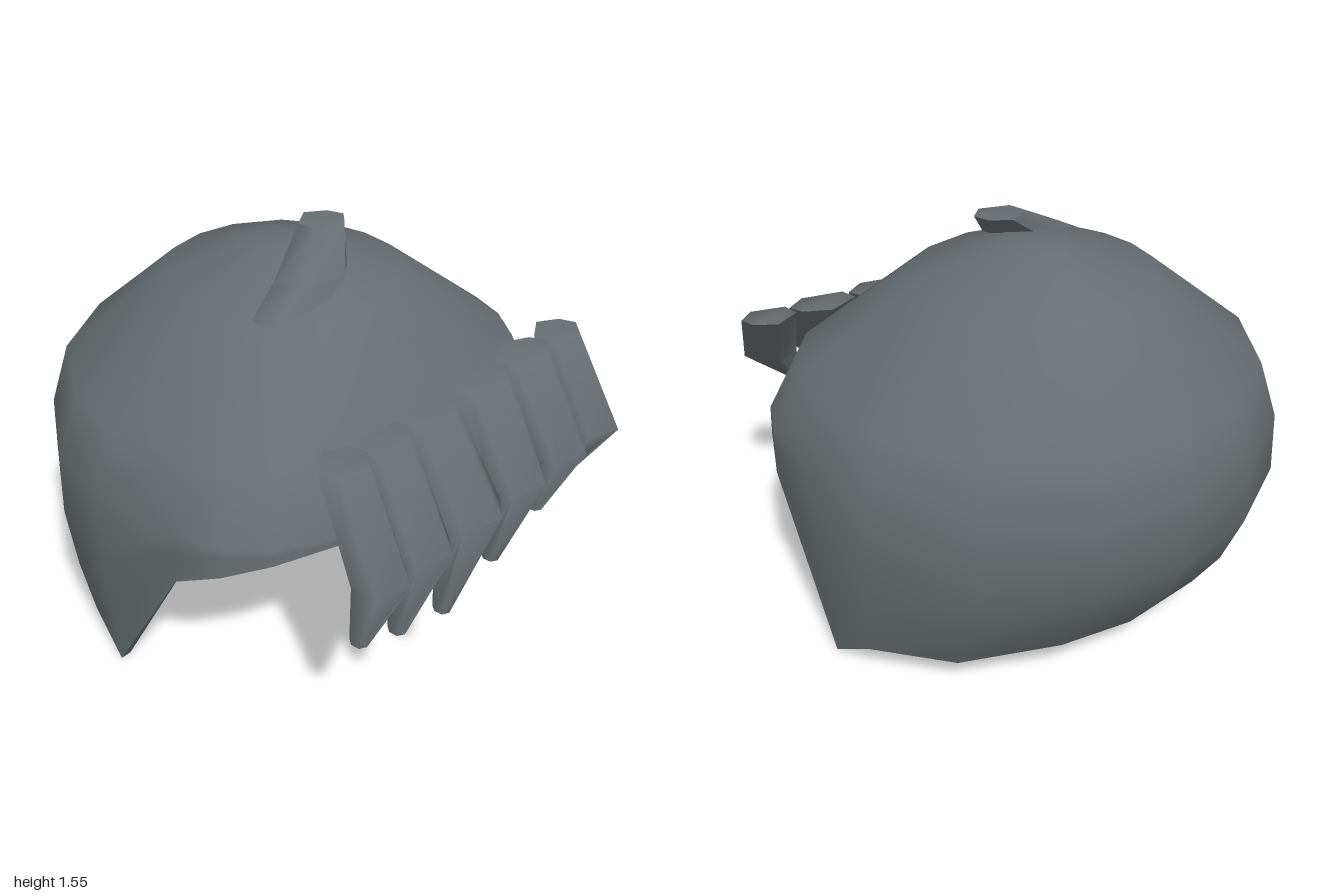
import * as THREE from 'three';
import { toCreasedNormals } from 'three/addons/utils/BufferGeometryUtils.js';

const hair = new THREE.MeshStandardMaterial({ color: 0x666d70 });
hair.name = 'slate grey hair';

// Skin a stack of closed rings (top to bottom, counter-clockwise from above)
function loft(rings, caps = false) {
  const n = rings[0].length;
  const pos = rings.flat().flatMap((p) => [...p]);
  const index = [];
  for (let i = 0; i < rings.length - 1; i++) {
    for (let j = 0; j < n; j++) {
      const a = i * n + j, b = i * n + ((j + 1) % n);
      index.push(a, a + n, b, b, a + n, b + n);
    }
  }
  if (caps) {
    const last = (rings.length - 1) * n;
    for (let j = 1; j < n - 1; j++) {
      index.push(0, j, j + 1, last, last + j + 1, last + j);
    }
  }
  const geo = new THREE.BufferGeometry();
  geo.setAttribute('position', new THREE.Float32BufferAttribute(pos, 3));
  geo.setIndex(index);
  geo.computeVertexNormals();
  return geo;
}

function add(parent, name, geo) {
  const mesh = new THREE.Mesh(geo, hair);
  mesh.name = name;
  parent.add(mesh);
}

// Cap profile: height, half width, front z, back z, front squareness
const CZ = -0.1, TOP = 1.46;
const PROFILE = [
  [1.46, 0.1, 0.05, -0.25, 2],
  [1.345, 0.46, 0.36, -0.575, 2.1],
  [1.03, 0.86, 0.69, -0.94, 2.6],
  [0.8, 0.955, 0.75, -0.99, 3],
  [0.55, 0.965, 0.76, -1.0, 3],
  [0.3, 0.95, 0.76, -0.87, 3],
  [0.12, 0.93, 0.76, -0.73, 3],
  [0, 0.925, 0.76, -0.66, 3],
];
// Hem height at each angle, from centre front round to centre back
const HEM = [
  [90, 0.78], [65, 0.775], [45, 0.74], [30, 0.68], [17, 0.61],
  [0, 0], [-18, 0.12], [-45, 0.12], [-70, 0.16], [-90, 0.12],
];

function capPoint(deg, y, scale, drop) {
  let i = 0;
  while (i < PROFILE.length - 2 && y < PROFILE[i + 1][0]) i++;
  const A = PROFILE[i], B = PROFILE[i + 1];
  const t = (A[0] - y) / (A[0] - B[0]);
  const [, w, f, b, nf] = A.map((v, k) => v + (B[k] - v) * t);
  const a = THREE.MathUtils.degToRad(deg);
  const s = Math.sin(a), c = Math.cos(a);
  const n = s > 0 ? nf : 2;
  const depth = s > 0 ? f - CZ : CZ - b;
  const bend = (v) => Math.sign(v) * Math.pow(Math.abs(v), 2 / n);
  return [w * bend(c) * scale, y - drop, CZ + depth * bend(s) * scale];
}

// Rings of the cap from crown to hem
function capRings(scale, thickness) {
  const mirrored = HEM.slice(1, -1).reverse().map(([d, y]) => [180 - d, y]);
  const columns = [...HEM, ...mirrored];
  const rings = [columns.map(() => [0, TOP - thickness, CZ])];
  for (const y of PROFILE.slice(0, 4).map((row) => row[0])) {
    rings.push(columns.map(([d, hem]) =>
      capPoint(d, y, scale, thickness * (y - hem) / (TOP - hem))));
  }
  for (const t of [0.35, 0.7, 1]) {
    rings.push(columns.map(([d, hem]) => {
      const y = 0.8 + (hem - 0.8) * t;
      return capPoint(d, y, scale, thickness * (y - hem) / (TOP - hem));
    }));
  }
  return rings;
}

// A pointed lock: six-sided slices given as [y, xMin, xMax, zMin, zMax]
const HEX = [[-0.85, 0.6], [0.4, 1], [1, 0.35], [0.8, -0.4], [0, -1], [-1, -0.3]];
function lock(slices) {
  const rings = slices.map(([y, x0, x1, z0, z1]) => HEX.map(([u, v]) =>
    [(x0 + x1) / 2 + u * (x1 - x0) / 2, y, (z0 + z1) / 2 + v * (z1 - z0) / 2]));
  return toCreasedNormals(loft(rings, true), 1.3);
}

export function createModel() {
  const group = new THREE.Group();
  group.name = 'hairpiece';

  // Hollow cap with a thin hem
  const cap = new THREE.Group();
  cap.name = 'cap';
  const outer = capRings(1, 0), inner = capRings(0.955, 0.05);
  add(cap, 'outerCap', loft(outer));
  add(cap, 'innerCap', loft([...inner].reverse()));
  add(cap, 'hem', toCreasedNormals(loft([outer.at(-1), inner.at(-1)]), 0.5));
  group.add(cap);

  // Fringe: root left, root right, knee left, knee right, tip left, tip height
  const fringe = new THREE.Group();
  fringe.name = 'fringe';
  [
    [-0.6, -0.41, -0.7, -0.51, -0.705, 0.55],
    [-0.41, -0.195, -0.505, -0.28, -0.505, 0.47],
    [-0.185, 0.055, -0.265, 0.015, -0.25, 0.4],
    [0.11, 0.38, 0.03, 0.275, 0.035, 0.47],
    [0.38, 0.645, 0.305, 0.545, 0.305, 0.555],
    [0.64, 0.85, 0.555, 0.76, 0.54, 0.64],
  ].forEach(([x0, x1, k0, k1, tip, y], i) => {
    add(fringe, 'fringeLock' + (i + 1), lock([
      [1.07, x0, x1, 0.56, 0.73],
      [0.78, k0, k1, 0.79, 1.0],
      [y, tip, tip + 0.04, 0.85, 0.92],
    ]));
  });
  group.add(fringe);

  // Loose tuft on the crown
  add(group, 'crownTuft', lock([
    [1.55, -0.01, 0.175, -0.08, 0.09],
    [1.43, -0.24, 0.06, 0.0, 0.23],
    [1.345, -0.4, -0.1, 0.05, 0.26],
  ]));
  return group;
}
